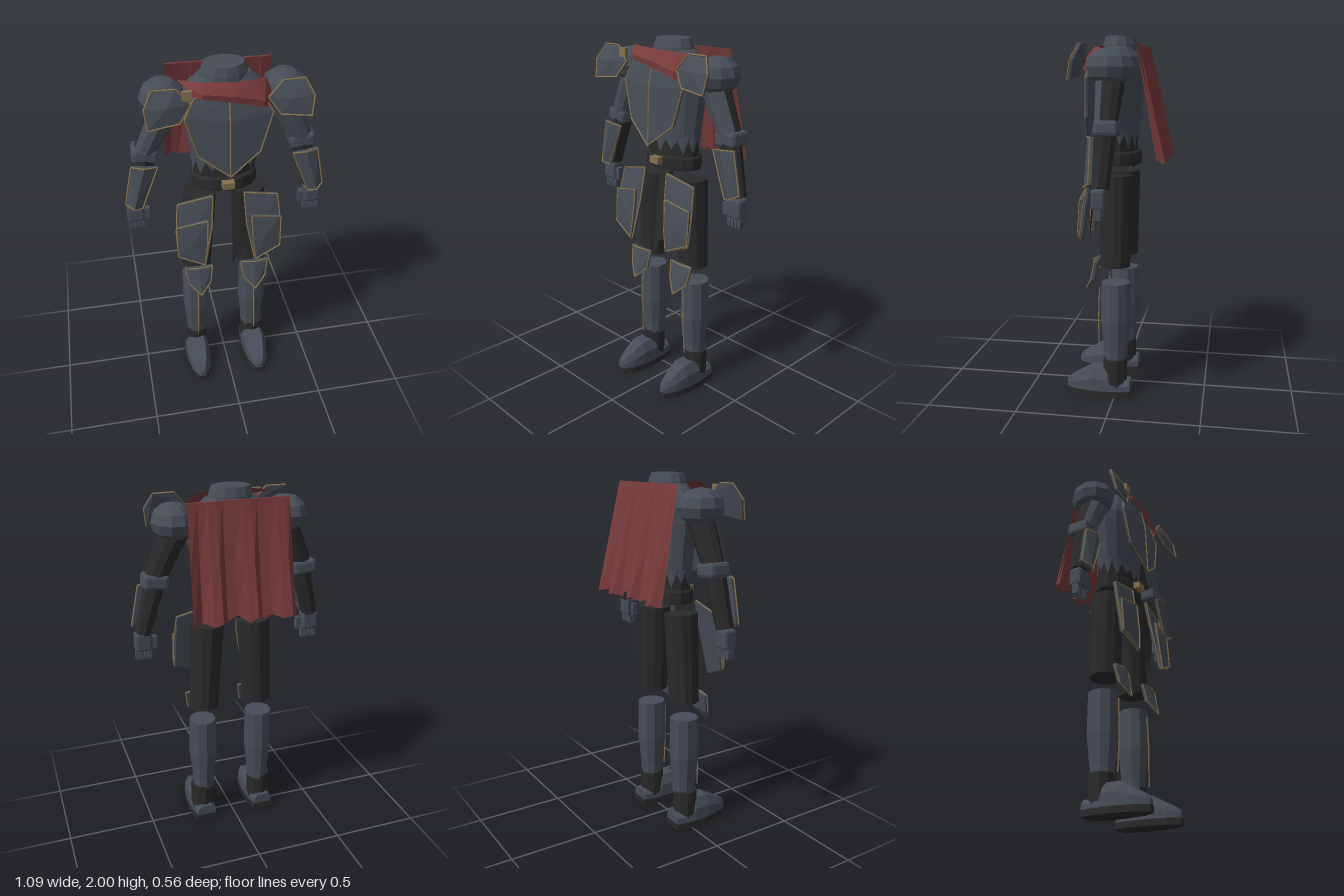
import * as THREE from 'three';
import { RoundedBoxGeometry } from 'three/addons/geometries/RoundedBoxGeometry.js';
import { ConvexGeometry } from 'three/addons/geometries/ConvexGeometry.js';
import { mergeGeometries } from 'three/addons/utils/BufferGeometryUtils.js';

const V = (p) => new THREE.Vector3(...p);
const colour = (name, color) =>
  Object.assign(new THREE.MeshStandardMaterial({ color, side: THREE.DoubleSide }), { name });

export function createModel() {
  const model = new THREE.Group();
  model.name = 'armouredFigure';
  const slate = colour('slateArmour', 0x474d57);
  const dark = colour('darkCloth', 0x2a2a2a);
  const red = colour('redCloth', 0x783a3b);
  const gold = colour('dullGold', 0x84704c);

  // Faceted geometry: every face keeps its own normal
  const flat = (g) => {
    const f = g.index ? g.toNonIndexed() : g;
    f.computeVertexNormals();
    return f;
  };
  const add = (name, geo, mat, pos = [0, 0, 0], rotZ = 0) => {
    const m = new THREE.Mesh(flat(geo), mat);
    m.name = name;
    m.position.set(...pos);
    m.rotation.z = rotZ;
    model.add(m);
    return m;
  };
  // Tapered bar from a (radius ra) to b (radius rb)
  const barGeo = (a, b, ra, rb, sides = 10, start = 0, arc = Math.PI * 2) => {
    const A = V(a), B = V(b), d = A.clone().sub(B);
    const g = new THREE.CylinderGeometry(ra, rb, d.length(), sides, 1, arc < 6, start, arc);
    g.applyQuaternion(new THREE.Quaternion().setFromUnitVectors(V([0, 1, 0]), d.normalize()));
    const c = A.add(B).multiplyScalar(0.5);
    return g.translate(c.x, c.y, c.z);
  };
  // Surface through rows of points
  const sheet = (rows) => {
    const n = rows[0].length, idx = [];
    for (let k = 0; k < rows.length - 1; k++)
      for (let j = 0; j < n - 1; j++) {
        const a = k * n + j, d = a + n;
        idx.push(a, a + 1, d + 1, a, d + 1, d);
      }
    const g = new THREE.BufferGeometry();
    g.setAttribute('position', new THREE.Float32BufferAttribute(rows.flat(2), 3));
    g.setIndex(idx);
    return g;
  };
  // Gold piping along a line of points
  const piping = (name, pts, closed = true, r = 0.0045) => {
    const parts = pts.slice(0, closed ? pts.length : -1)
      .map((p, i) => barGeo(p, pts[(i + 1) % pts.length], r, r, 4));
    add(name, mergeGeometries(parts), gold);
  };
  // Thin armour plate with a gold edge; ridge holds extra raised points
  const plate = (name, s, outline, ridge = [], thick = 0.012) => {
    const pts = [...outline, ...ridge].map(([x, y, z]) => [x * s, y, z]);
    const back = pts.map(([x, y, z]) => [x, y, z - thick]);
    add(name, new ConvexGeometry([...pts, ...back].map(V)), slate);
    piping(name + 'Edge', pts.slice(0, outline.length).map(([x, y, z]) => [x, y, z + 0.003]));
  };
  // Oval turned body
  const oval = (name, profile, depth, mat, sides = 14) => {
    const g = new THREE.LatheGeometry(profile.map(([r, y]) => new THREE.Vector2(r, y)), sides);
    return add(name, g.scale(1, 1, depth), mat);
  };

  // Torso, neck and belt
  oval('abdomen', [[0, 1.33], [0.168, 1.33], [0.17, 1.44], [0.172, 1.5]], 0.58, dark);
  oval('torso', [[0.18, 1.49], [0.2, 1.62], [0.222, 1.75], [0.226, 1.82], [0.2, 1.89], [0.135, 1.945], [0, 1.945]], 0.59, slate);
  oval('neck', [[0.127, 1.92], [0.122, 1.955], [0.105, 2], [0, 2]], 0.78, slate, 12);
  oval('belt', [[0, 1.31], [0.178, 1.31], [0.18, 1.325], [0.18, 1.375], [0.17, 1.385], [0, 1.385]], 0.68, dark);
  add('buckle', new THREE.BoxGeometry(0.065, 0.038, 0.04), gold, [0, 1.361, 0.135]);

  // Torn hem hanging over the abdomen
  const hem = [[], []];
  for (let i = 0; i <= 28; i++) {
    const a = (i / 28) * Math.PI * 2, y = i % 2 ? 1.475 : 1.4 + 0.025 * ((i / 2) % 3 === 1);
    hem[0].push([0.176 * Math.sin(a), y, 0.104 * Math.cos(a)]);
    hem[1].push([0.181 * Math.sin(a), 1.5, 0.107 * Math.cos(a)]);
  }
  add('tornHem', sheet(hem), slate);

  // Ridged breastplate
  const chest = [[0, 1.45, 0.195], [0.16, 1.57, 0.165], [0.222, 1.78, 0.15], [0.17, 1.88, 0.13],
    [-0.17, 1.88, 0.13], [-0.222, 1.78, 0.15], [-0.16, 1.57, 0.165]];
  plate('breastplate', 1, chest, [[0, 1.88, 0.158], [0, 1.76, 0.182]]);
  piping('breastplateRidge', [[0, 1.45, 0.197], [0, 1.76, 0.184], [0, 1.88, 0.16]], false);

  // Scarf across the chest with its clasp
  add('scarf', sheet([
    [[-0.2, 1.895, 0.125], [-0.14, 1.89, 0.168], [0.02, 1.862, 0.178], [0.17, 1.82, 0.172], [0.245, 1.79, 0.1]],
    [[-0.2, 1.925, 0.12], [-0.13, 1.915, 0.172], [0.02, 1.895, 0.182], [0.17, 1.855, 0.172], [0.235, 1.83, 0.1]],
    [[-0.24, 1.95, 0.06], [-0.12, 1.955, 0.125], [0.02, 1.95, 0.135], [0.13, 1.945, 0.115], [0.2, 1.935, 0.07]],
  ]), red);
  add('clasp', new THREE.BoxGeometry(0.048, 0.048, 0.02), gold, [-0.21, 1.918, 0.17]);

  // Cape in three overlapping folded panels
  const fold = [[0, 0.025, 0], [0.035, -0.015, 0.012], [0.08, -0.01, 0.0], [0.135, 0.025, 0.018], [0.19, 0.022, 0.006]];
  for (let p = 0; p < 3; p++) {
    const row = (t, off) => fold.map(([x, z, y], i) => [
      (-0.285 + p * 0.19 + x) * (0.96 + 0.06 * t),
      1.95 - t * (0.612 - y * (1 + (p % 2))),
      -0.137 - t * 0.128 + z * (p === 2 && i === 4 ? -0.7 : 1) * (0.12 + 0.88 * t) + off]);
    add('capePanel' + (p + 1), sheet([row(0, 0), row(0.5, 0), row(1, 0), row(1, 0.014), row(0, 0.014), row(0, 0)]), red);
  }

  // Torn cloth hanging beside the left thigh
  add('tornCloth', sheet([
    [[0.018, 1.305, 0.125], [0.06, 1.305, 0.125], [0.12, 1.3, 0.12]],
    [[0.018, 1.05, 0.155], [0.07, 1.05, 0.155], [0.13, 1.05, 0.145]],
    [[0.018, 0.83, 0.18], [0.05, 0.905, 0.17], [0.1, 0.96, 0.16]],
  ]), dark);

  for (const s of [1, -1]) {
    const side = s > 0 ? 'left' : 'right';
    const at = (x, y, z) => [x * s, y, z];

    // Shoulder
    const ball = new THREE.SphereGeometry(1, 10, 6).scale(0.118, 0.1, 0.13);
    add(side + 'Shoulder', ball, slate, at(0.312, 1.835, 0));
    plate(side + 'ShoulderPlate', s, [[0.26, 1.95, 0.155], [0.375, 1.95, 0.15], [0.418, 1.87, 0.185],
      [0.405, 1.77, 0.205], [0.25, 1.785, 0.19], [0.19, 1.87, 0.165]], [[0.31, 1.87, 0.198]]);

    // Arm with a front guard on the upper half
    const a = at(0.3, 1.79, 0), b = at(0.415, 1.55, 0.005);
    add(side + 'UpperArm', barGeo(a, b, 0.075, 0.058), dark);
    add(side + 'UpperArmGuard', barGeo(a, b, 0.083, 0.064, 4, -1.15, 2.3), slate);
    add(side + 'Elbow', new RoundedBoxGeometry(0.135, 0.078, 0.125, 1, 0.018), slate, at(0.42, 1.53, 0.002), s * 0.1);
    add(side + 'Forearm', barGeo(at(0.42, 1.51, 0.01), at(0.493, 1.235, 0.025), 0.058, 0.046, 8), dark);
    plate(side + 'ForearmPlate', s, [[0.362, 1.475, 0.075], [0.43, 1.49, 0.1], [0.498, 1.49, 0.07],
      [0.542, 1.265, 0.072], [0.5, 1.245, 0.108], [0.455, 1.235, 0.085]], [], 0.014);

    // Hand
    add(side + 'Palm', new RoundedBoxGeometry(0.095, 0.105, 0.072, 1, 0.014), slate, at(0.493, 1.185, 0.032));
    for (let i = 0; i < 4; i++)
      add(side + 'Finger' + (i + 1), new THREE.BoxGeometry(0.018, 0.06, 0.036), slate, at(0.458 + i * 0.0235, 1.112, 0.034));
    add(side + 'Thumb', new THREE.BoxGeometry(0.026, 0.07, 0.034), slate, at(0.43, 1.17, 0.038));
    add(side + 'ThumbJoint', new THREE.BoxGeometry(0.03, 0.03, 0.03), slate, at(0.442, 1.185, 0.038));

    // Thigh with two layered tassets
    add(side + 'Thigh', barGeo(at(0.135, 1.255, 0), at(0.162, 0.75, 0.005), 0.094, 0.084, 12), dark);
    plate(side + 'Tasset', s, [[0.085, 1.3, 0.135], [0.275, 1.26, 0.125], [0.29, 1.1, 0.155],
      [0.285, 0.94, 0.175], [0.14, 0.88, 0.195], [0.095, 1.12, 0.165]], [[0.19, 1.12, 0.172]]);
    plate(side + 'LowerTasset', s, [[0.122, 1.17, 0.18], [0.288, 1.14, 0.172], [0.287, 0.95, 0.185],
      [0.145, 0.885, 0.205], [0.128, 1.0, 0.198]], [[0.2, 1.05, 0.2]]);

    // Knee plate
    plate(side + 'KneePlate', s, [[0.085, 0.785, 0.105], [0.162, 0.788, 0.12], [0.24, 0.785, 0.105], [0.225, 0.68, 0.125],
      [0.16, 0.618, 0.165], [0.1, 0.68, 0.125]], [[0.162, 0.7, 0.143]]);

    // Shin and ankle
    const shin = [[0, 0.2], [0.062, 0.2], [0.064, 0.26], [0.08, 0.43], [0.077, 0.66], [0, 0.66]];
    oval(side + 'Shin', shin, 1.06, slate, 10).position.x = s * 0.173;
    piping(side + 'ShinRidge', [at(0.168, 0.62, 0.092), at(0.172, 0.43, 0.098), at(0.178, 0.22, 0.092)], false);
    add(side + 'Ankle', barGeo(at(0.181, 0.217, 0.002), at(0.181, 0.05, 0.002), 0.069, 0.069, 10), dark);

    // Boot
    const outline = [[0.058, -0.09], [0.075, -0.02], [0.077, 0.1], [0.058, 0.215], [0.022, 0.28]];
    const sole = new THREE.Shape([...outline, ...outline.map(([x, z]) => [-x, z]).reverse()]
      .map(([x, z]) => new THREE.Vector2(x, -z)));
    const soleGeo = new THREE.ExtrudeGeometry(sole, { depth: 0.035, bevelEnabled: false }).rotateX(-Math.PI / 2);
    add(side + 'Sole', soleGeo, dark, at(0.182, 0, 0));
    const sections = [[-0.085, 0.001, 0.04], [-0.085, 0.056, 0.09], [0.02, 0.072, 0.092], [0.035, 0.073, 0.162],
      [0.13, 0.07, 0.162], [0.21, 0.055, 0.118], [0.26, 0.032, 0.092], [0.278, 0.016, 0.07], [0.278, 0.001, 0.04]];
    add(side + 'Boot', sheet(sections.map(([z, w, h]) => {
      const m = 0.034 + (h - 0.034) * 0.55;
      return [[-w, 0.034, z], [w, 0.034, z], [w * 0.96, m, z], [w * 0.58, h, z],
        [-w * 0.58, h, z], [-w * 0.96, m, z], [-w, 0.034, z]];
    })), slate, at(0.182, 0, 0));
  }
  return model;
}
